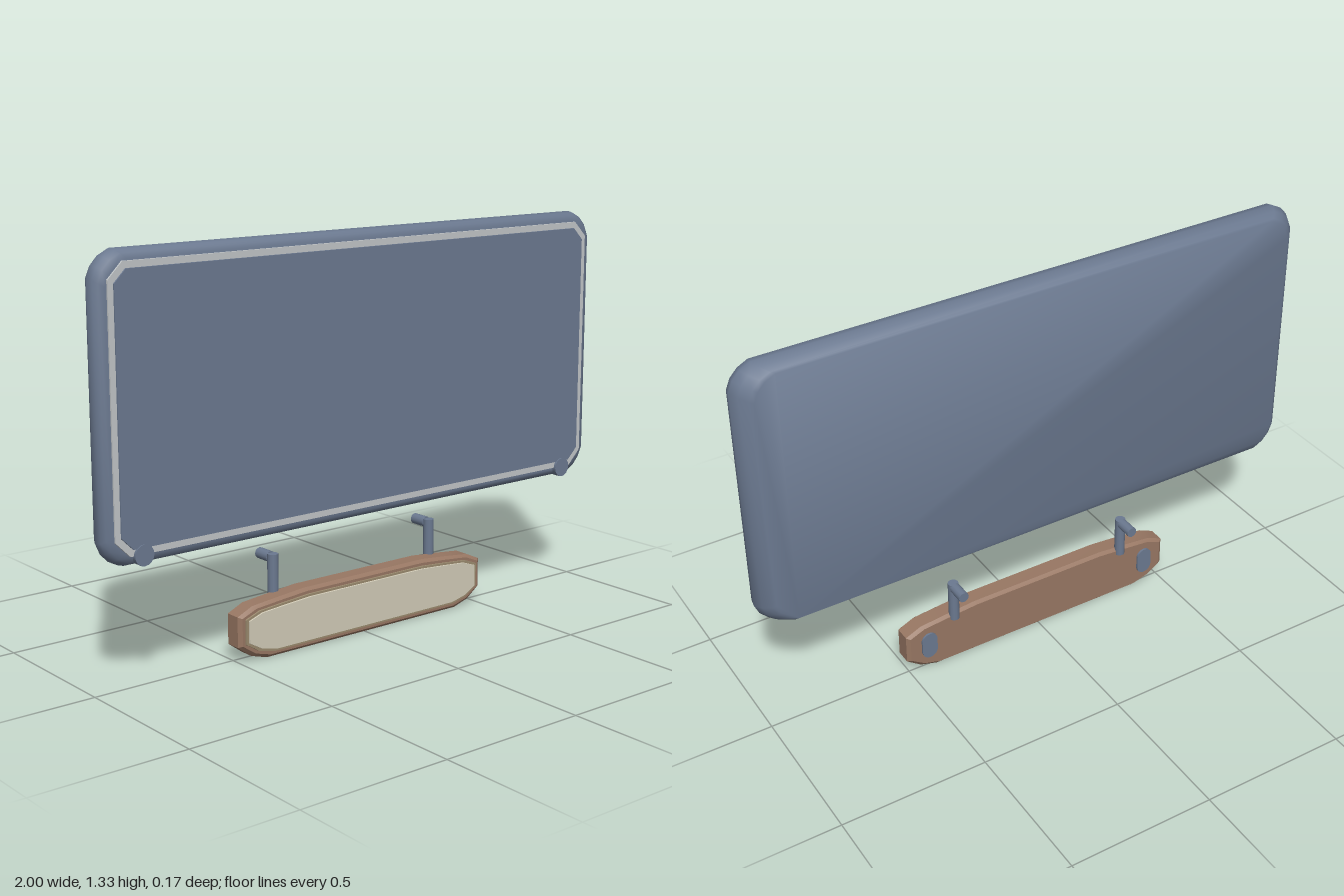
import * as THREE from 'three';
import { toCreasedNormals } from 'three/addons/utils/BufferGeometryUtils.js';

const mat = (name, color) => {
  const m = new THREE.MeshStandardMaterial({ color });
  m.name = name;
  return m;
};

// Closed solid through scaled copies of a counter-clockwise outline; sections are [z, insetX, insetY]
function loft(outline, hx, hy, sections, crease = 0.5) {
  const n = outline.length, pos = [], idx = [];
  for (const [z, ix, iy] of sections)
    for (const [x, y] of outline) pos.push(x * (hx - ix) / hx, y * (hy - iy) / hy, z);
  for (let s = 0; s < sections.length - 1; s++)
    for (let i = 0; i < n; i++) {
      const a = s * n + i, b = s * n + (i + 1) % n;
      idx.push(a, b, b + n, a, b + n, a + n);
    }
  const last = (sections.length - 1) * n;
  for (let i = 1; i < n - 1; i++) {
    idx.push(0, i + 1, i);
    idx.push(last, last + i, last + i + 1);
  }
  const g = new THREE.BufferGeometry();
  g.setAttribute('position', new THREE.Float32BufferAttribute(pos, 3));
  g.setIndex(idx);
  return toCreasedNormals(g, crease);
}

// Right half of an outline, from bottom to top, mirrored to the left
const mirror = half => [...half, ...half.slice().reverse().map(([x, y]) => [-x, y])];

// Rectangle with cut corners; cut lists [dx, dy] offsets from the corner
function panelOutline(hx, hy, cut) {
  const top = cut.map(([dx, dy]) => [hx - dx, hy - dy]);
  return mirror([...top.slice().reverse().map(([x, y]) => [x, -y]), ...top]);
}

export function createModel() {
  const model = new THREE.Group();
  const blue = mat('slate blue', 0x6b7990);
  const silver = mat('silver trim', 0xc2c6c8);
  const brown = mat('brown wood', 0x987763);
  const tan = mat('dark tan', 0x9a8a6e);
  const cream = mat('cream', 0xd2ccb8);

  const add = (parent, name, geometry, material, x = 0, y = 0, z = 0) => {
    const m = new THREE.Mesh(geometry, material);
    m.name = name;
    m.position.set(x, y, z);
    parent.add(m);
    return m;
  };

  // Large panel with softly bevelled rim
  const panel = new THREE.Group();
  panel.name = 'panel';
  panel.position.y = 0.865;
  model.add(panel);
  const round = [[0, 0.08], [0.015, 0.045], [0.04, 0.018], [0.075, 0]];
  add(panel, 'panelBody', loft(panelOutline(1, 0.465, round), 1, 0.465, [
    [-0.032, 0.05, 0.022], [-0.025, 0.038, 0.016], [0.0, 0.015, 0.006], [0.03, 0, 0],
    [0.055, 0.004, 0.004], [0.068, 0.015, 0.013], [0.075, 0.032, 0.028],
  ], 0.9), blue);
  add(panel, 'panelTrim', loft(panelOutline(0.962, 0.432, [[0, 0.05], [0.05, 0]]), 0.962, 0.432,
    [[0.07, 0, 0], [0.08, 0.001, 0.001]]), silver);
  add(panel, 'panelFace', loft(panelOutline(0.943, 0.411, [[0, 0.04], [0.04, 0]]), 0.943, 0.411,
    [[0.076, 0, 0], [0.084, 0.001, 0.001]]), blue);

  // Round studs at the lower corners
  for (const s of [-1, 1]) {
    const stud = new THREE.CylinderGeometry(0.033, 0.033, 0.026, 16).rotateX(Math.PI / 2);
    add(model, s > 0 ? 'leftStud' : 'rightStud', stud, blue, s * 0.868, 0.433, 0.075);
  }

  // Lower bar with tapered ends
  const bar = new THREE.Group();
  bar.name = 'lowerBar';
  bar.position.y = 0.1;
  model.add(bar);
  const barOutline = mirror([[0.4, -0.1], [0.46, -0.082], [0.51, -0.045], [0.51, 0.055],
    [0.455, 0.08], [0.36, 0.09], [0.25, 0.1]]);
  const barPart = sections => loft(barOutline, 0.51, 0.1, sections);
  add(bar, 'barBody', barPart([[-0.02, 0.012, 0.01], [-0.01, 0, 0], [0.042, 0, 0], [0.052, 0.012, 0.01]]), brown);
  add(bar, 'barRim', barPart([[0.05, 0.022, 0.019], [0.057, 0.023, 0.02]]), tan);
  add(bar, 'barFace', barPart([[0.055, 0.032, 0.027], [0.062, 0.033, 0.028]]), cream);

  // Hooks and rear pads, one pair per side
  for (const s of [-1, 1]) {
    const side = s > 0 ? 'left' : 'right';
    const hook = new THREE.Group();
    hook.name = side + 'Hook';
    hook.position.set(s * 0.33, 0, 0);
    model.add(hook);
    add(hook, 'hookPost', new THREE.CylinderGeometry(0.018, 0.018, 0.145, 12), blue, 0, 0.2425, -0.015);
    add(hook, 'hookPeg', new THREE.CylinderGeometry(0.018, 0.018, 0.06, 12).rotateX(Math.PI / 2), blue, 0, 0.302, -0.056);
    const pad = new THREE.CapsuleGeometry(0.028, 0.042, 6, 16).scale(1, 1, 0.3);
    pad.translate(0, 0, 0);
    const shape = new THREE.Shape();
    shape.absarc(0, 0.021, 0.028, 0, Math.PI);
    shape.absarc(0, -0.021, 0.028, Math.PI, 2 * Math.PI);
    add(model, side + 'RearPad',
      new THREE.ExtrudeGeometry(shape, { depth: 0.009, bevelEnabled: false, curveSegments: 8 }),
      blue, s * 0.43, 0.1, -0.027);
  }
  return model;
}
